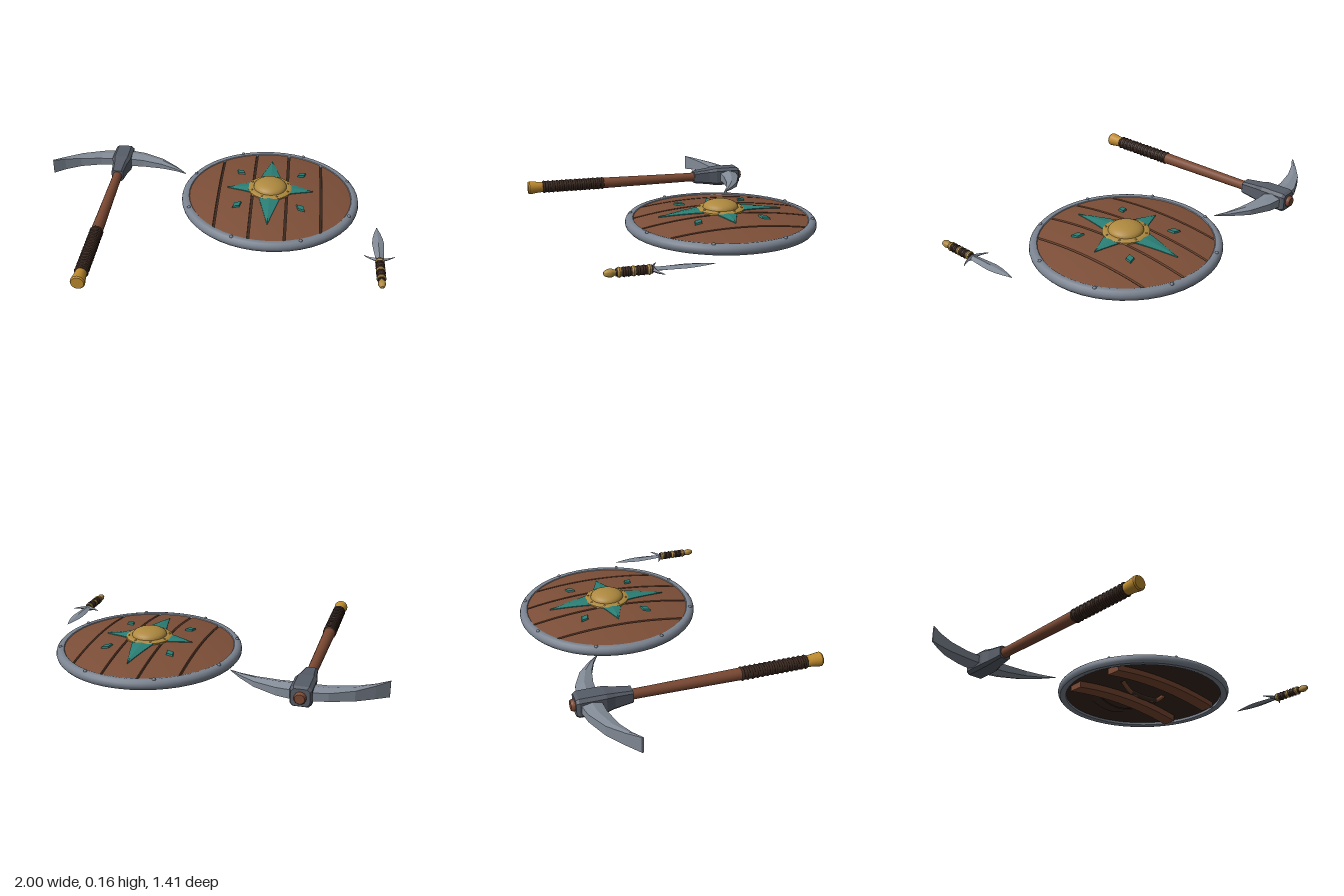
import * as THREE from 'three';
import { toCreasedNormals } from 'three/addons/utils/BufferGeometryUtils.js';

const colours = {
  plankWood: 0x7d4f38, darkWood: 0x38271d, steel: 0x7a8390, bladeSteel: 0x828b97, darkSteel: 0x575d68,
  teal: 0x2a7f76, brass: 0xae893f, gold: 0xc08c2e, handleWood: 0x7a4832, leather: 0x3a281f,
};
const mats = {};
for (const [name, color] of Object.entries(colours)) {
  mats[name] = new THREE.MeshStandardMaterial({ color });
  mats[name].name = name;
}

function add(parent, name, geometry, mat, x = 0, y = 0, z = 0) {
  const mesh = new THREE.Mesh(geometry, mats[mat]);
  mesh.name = name;
  mesh.position.set(x, y, z);
  parent.add(mesh);
  return mesh;
}

// Lathe about y from [radius, height] points, keeping hard edges
const lathe = (pts, sides = 24) => toCreasedNormals(
  new THREE.LatheGeometry(pts.map(([r, y]) => new THREE.Vector2(r, y)), sides), 0.6);
// The same, turned to lie along z
const latheZ = (pts, sides = 16) => lathe(pts, sides).rotateX(Math.PI / 2);

// Flat-shaded solid through equal-sized rings of [x, y, z], with capped ends
function loft(rings) {
  const n = rings[0].length;
  const tris = [];
  for (let i = 0; i < rings.length - 1; i++) {
    for (let j = 0; j < n; j++) {
      const k = (j + 1) % n;
      const a = rings[i][j], b = rings[i][k], c = rings[i + 1][k], d = rings[i + 1][j];
      tris.push([a, b, c], [a, c, d]);
    }
  }
  const last = rings[rings.length - 1];
  for (let j = 1; j < n - 1; j++) {
    tris.push([rings[0][0], rings[0][j + 1], rings[0][j]], [last[0], last[j], last[j + 1]]);
  }
  const volume = tris.reduce((sum, [a, b, c]) => sum + new THREE.Vector3(...a)
    .dot(new THREE.Vector3(...b).cross(new THREE.Vector3(...c))), 0);
  if (volume < 0) tris.forEach((t) => t.reverse());
  const g = new THREE.BufferGeometry();
  g.setAttribute('position', new THREE.Float32BufferAttribute(tris.flat(2), 3));
  g.computeVertexNormals();
  return g;
}

// Move every vertex by a rule
function warp(geometry, rule) {
  const p = geometry.attributes.position;
  for (let i = 0; i < p.count; i++) p.setXYZ(i, ...rule(p.getX(i), p.getY(i), p.getZ(i)));
  geometry.computeVertexNormals();
  return geometry;
}

// Height of the shield's face at radius r
const dome = (r) => 0.062 + 0.048 * (1 - (r / 0.47) ** 2);

function createShield() {
  const g = new THREE.Group();
  g.name = 'shield';
  g.position.set(0.32, 0, -0.205);
  const R = 0.468;

  // Dark backing, seen from below and through the plank gaps
  const steps = [0, 1, 2, 3, 4, 5, 6].map((i) => (i * 0.467) / 6);
  add(g, 'backing', lathe([
    ...steps.map((r) => [r, dome(r) - 0.03]),
    ...[...steps].reverse().map((r) => [r, dome(r) - 0.012])], 48), 'darkWood');

  // Five planks bent over the dome
  const edges = [-R, -0.29, -0.097, 0.097, 0.29, R];
  for (let i = 0; i < 5; i++) {
    const x0 = edges[i] + (i > 0 ? 0.006 : 0), x1 = edges[i + 1] - (i < 4 ? 0.006 : 0);
    const box = new THREE.BoxGeometry(x1 - x0, 0.014, 2, 8, 1, 20);
    add(g, 'plank', toCreasedNormals(warp(box, (x, y, z) => {
      const px = x + (x0 + x1) / 2;
      const pz = z * Math.sqrt(Math.max(0, R * R - px * px));
      return [px, dome(Math.hypot(px, pz)) + y - 0.007, pz];
    }), 0.6), 'plankWood');
  }

  // Rounded steel rim
  add(g, 'rim', lathe([[0.458, 0.02], [0.475, 0.014], [0.492, 0.017], [0.502, 0.029], [0.505, 0.042],
    [0.502, 0.056], [0.492, 0.067], [0.477, 0.071], [0.464, 0.068], [0.458, 0.06], [0.458, 0.02]], 48), 'steel');

  // Rivets on the rim and on the boss flange
  for (let i = 0; i < 8; i++) {
    const a = ((i + 0.5) * Math.PI) / 4;
    const rivet = (r, y, size, mat) => add(g, 'rivet',
      new THREE.SphereGeometry(size, 10, 6), mat, r * Math.cos(a), y, r * Math.sin(a));
    rivet(0.482, 0.069, 0.01, 'steel');
    rivet(0.11, 0.118, 0.006, 'brass');
  }

  // Brass boss
  const cap = [];
  for (let i = 0; i <= 8; i++) {
    const a = (i * Math.PI) / 16;
    cap.push([0.094 * Math.cos(a), 0.12 + 0.04 * Math.sin(a)]);
  }
  add(g, 'boss', lathe([[0.125, 0.1], [0.125, 0.114], [0.12, 0.118], [0.1, 0.12], ...cap], 32), 'brass');

  // Ridged four-pointed star following the dome
  for (let i = 0; i < 4; i++) {
    const length = i % 2 ? 0.243 : 0.338;
    const rings = [];
    for (let s = 0; s <= 6; s++) {
      const t = s / 6, r = 0.075 + (length - 0.075) * t;
      const w = 0.066 * (1 - t) + 0.001, y = dome(r);
      rings.push([[-w, y - 0.006, r], [-w, y + 0.004, r], [0, y + 0.012 - 0.005 * t, r],
        [w, y + 0.004, r], [w, y - 0.006, r]]);
    }
    add(g, 'starPoint', loft(rings), 'teal').rotation.y = (i * Math.PI) / 2;
  }

  // Four diamond studs
  for (const sx of [-1, 1]) {
    for (const sz of [-1, 1]) {
      const geo = new THREE.CylinderGeometry(0.8, 1, 0.014, 4).toNonIndexed();
      geo.computeVertexNormals();
      const d = add(g, 'diamond', geo.scale(0.024, 1, 0.038), 'teal', sx * 0.177, dome(0.25) + 0.002, sz * 0.177);
      d.rotation.set(0.11, Math.atan2(sx, sz), 0, 'YXZ');
    }
  }

  // Cross battens under the planks
  for (const s of [-1, 1]) {
    const box = new THREE.BoxGeometry(0.78, 0.04, 0.085, 16, 1, 2);
    add(g, 'batten', toCreasedNormals(warp(box, (x, y, z) =>
      [x, dome(Math.hypot(x, 0.16)) - 0.045 + y, z + s * 0.16]), 0.6), 'handleWood');
  }

  // Hand grip and arm strap
  const path = (pts) => new THREE.CatmullRomCurve3(pts.map(([x, y]) => new THREE.Vector3(x, y, 0)));
  add(g, 'handGrip', new THREE.TubeGeometry(
    path([[-0.17, 0.075], [-0.1, 0.026], [0, 0.019], [0.1, 0.026], [0.17, 0.075]]), 24, 0.013, 10), 'handleWood');
  add(g, 'gripWrap', new THREE.TubeGeometry(path([[-0.1, 0.026], [0, 0.019], [0.1, 0.026]]), 12, 0.016, 10), 'leather');
  add(g, 'armStrap', warp(new THREE.BoxGeometry(0.34, 0.008, 0.07, 14, 1, 1),
    (x, y, z) => [x, y + 0.028 + 0.045 * (x / 0.17) ** 2, z - 0.27]), 'leather');
  return g;
}

function createPickaxe() {
  const g = new THREE.Group();
  g.name = 'pickaxe';
  g.position.set(-0.595, 0.055, 0);

  // Shaft, wrapped grip and pommel
  add(g, 'shaft', latheZ([[0, -0.645], [0.025, -0.645], [0.031, -0.635], [0.029, -0.4], [0.027, -0.3],
    [0.031, 0.1], [0.033, 0.25], [0.03, 0.64], [0, 0.64]]), 'handleWood');
  add(g, 'gripCore', latheZ([[0, 0.245], [0.034, 0.245], [0.034, 0.615], [0, 0.615]]), 'leather');
  for (let i = 0; i < 14; i++) {
    const wrap = add(g, 'gripWrap', new THREE.TorusGeometry(0.03, 0.008, 6, 18), 'leather', 0, 0, 0.25 + i * 0.0275);
    wrap.rotation.y = i > 0 && i < 13 ? 0.12 : 0;
  }
  add(g, 'pommel', latheZ([[0, 0.618], [0.031, 0.618], [0.033, 0.645], [0.038, 0.68], [0.039, 0.695],
    [0.034, 0.703], [0, 0.703]]), 'gold');

  // Chamfered socket: [z, half width, half height]
  add(g, 'headSocket', loft([[-0.625, 0.047, 0.045], [-0.61, 0.055, 0.054], [-0.475, 0.055, 0.054],
    [-0.43, 0.044, 0.046], [-0.335, 0.034, 0.035]].map(([z, w, h]) => {
    const c = 0.7;
    return [[w, h * c], [w * c, h], [-w * c, h], [-w, h * c], [-w, -h * c], [-w * c, -h], [w * c, -h], [w, -h * c]]
      .map(([x, y]) => [x, y, z]);
  })), 'darkSteel');

  // Curved blades: [x, outer z, inner z, half height, edge share of height]
  const blade = (rows) => loft(rows.map(([x, zo, zi, h, e]) => {
    const zm = (zo + zi) / 2;
    return [[x, h * e, zo], [x, h, zm], [x, h * e, zi], [x, -h * e, zi], [x, -h, zm], [x, -h * e, zo]];
  }));
  add(g, 'spike', blade([[0.03, -0.605, -0.5, 0.042, 0.6], [0.13, -0.588, -0.495, 0.035, 0.6],
    [0.25, -0.537, -0.472, 0.024, 0.6], [0.34, -0.468, -0.438, 0.012, 0.6], [0.404, -0.406, -0.402, 0.002, 0.6]]), 'bladeSteel');
  add(g, 'adze', blade([[-0.03, -0.605, -0.5, 0.034, 0.65], [-0.13, -0.588, -0.495, 0.031, 0.7],
    [-0.25, -0.537, -0.472, 0.034, 0.8], [-0.34, -0.468, -0.438, 0.039, 0.9], [-0.405, -0.41, -0.402, 0.043, 1]]), 'bladeSteel');
  return g;
}

function createDagger() {
  const g = new THREE.Group();
  g.name = 'dagger';
  g.position.set(0.918, 0.03, 0);

  // Leaf blade: [z, half width, half thickness]
  add(g, 'daggerBlade', loft([[0.02, 0.001, 0.001], [0.07, 0.016, 0.005], [0.12, 0.027, 0.008], [0.17, 0.032, 0.009],
    [0.23, 0.028, 0.01], [0.31, 0.021, 0.01]].map(([z, w, t]) => [[w, 0, z], [0, t, z], [-w, 0, z], [0, -t, z]])), 'bladeSteel');

  // Swept guard, tapering to both tips
  const rings = [];
  for (let i = -6; i <= 6; i++) {
    const t = i / 6, w = 0.013 * (1 - 0.85 * Math.abs(t)), z = 0.315 - 0.032 * t * t;
    rings.push([[t * 0.08, w, z], [t * 0.08, 0, z + w], [t * 0.08, -w, z], [t * 0.08, 0, z - w]]);
  }
  add(g, 'guard', loft(rings), 'steel');

  // Grip, bands and pommel
  add(g, 'daggerGrip', latheZ([[0, 0.315], [0.02, 0.32], [0.022, 0.36], [0.02, 0.4], [0.022, 0.45], [0.018, 0.49], [0, 0.49]]), 'leather');
  for (const z of [0.335, 0.408, 0.475]) {
    add(g, 'gripBand', latheZ([[0, -0.008], [0.022, -0.008], [0.025, 0], [0.022, 0.008], [0, 0.008]]), 'brass', 0, 0, z);
  }
  for (const z of [0.36, 0.385, 0.43, 0.452]) {
    add(g, 'daggerWrap', new THREE.TorusGeometry(0.019, 0.006, 6, 14), 'leather', 0, 0, z);
  }
  add(g, 'daggerPommel', latheZ([[0, 0.48], [0.012, 0.484], [0.013, 0.494], [0.019, 0.505], [0.02, 0.52],
    [0.014, 0.538], [0.007, 0.545], [0, 0.546]]), 'brass');
  return g;
}

export function createModel() {
  const model = new THREE.Group();
  model.name = 'adventurerGear';
  model.add(createShield(), createPickaxe(), createDagger());
  return model;
}
